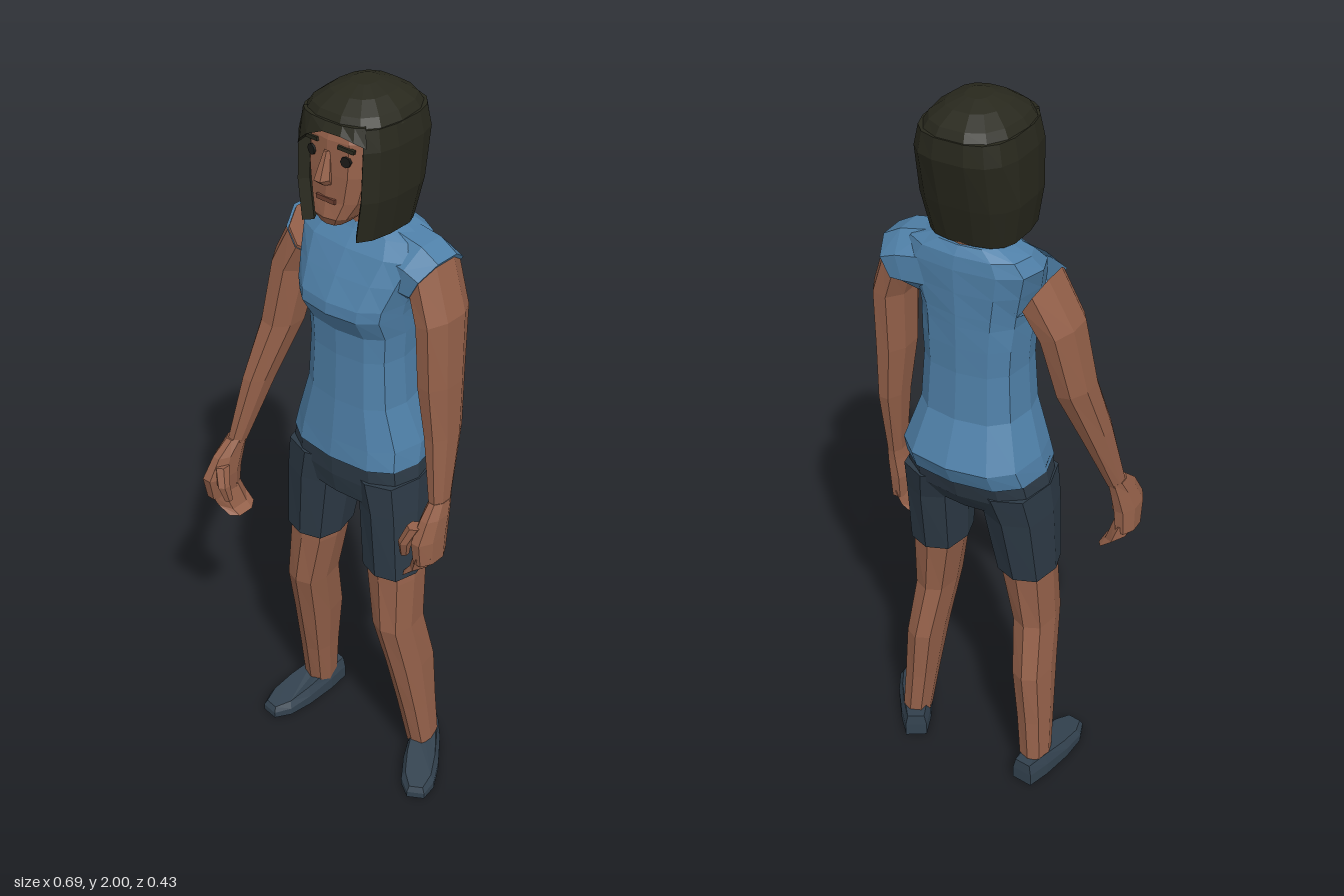
import * as THREE from 'three';

const mat = (name, color) => Object.assign(new THREE.MeshStandardMaterial({ color }), { name });
const RAD = Math.PI / 180;
const pow = (v, e) => Math.sign(v) * Math.abs(v) ** e;

// Flat-faced solid through rings of points (each ring runs from +x towards +z).
function loft(name, material, rings) {
  if (rings[0][0][1] > rings[rings.length - 1][0][1]) rings = [...rings].reverse();
  const n = rings[0].length, pos = [];
  const quad = (a, b, c, d) => [a, b, c, a, c, d].forEach(p => pos.push(...p));
  for (let j = 0; j < rings.length - 1; j++) {
    const lo = rings[j], hi = rings[j + 1];
    for (let i = 0; i < n; i++) {
      const k = (i + 1) % n;
      quad(lo[i], hi[i], hi[k], lo[k]);
    }
  }
  const bottom = rings[0], top = rings[rings.length - 1];
  for (let k = 0; k < n / 2 - 1; k++) {
    quad(bottom[k], bottom[k + 1], bottom[n - 2 - k], bottom[n - 1 - k]);
    quad(top[n - 1 - k], top[n - 2 - k], top[k + 1], top[k]);
  }
  const g = new THREE.BufferGeometry();
  g.setAttribute('position', new THREE.Float32BufferAttribute(pos, 3));
  g.computeVertexNormals();
  const mesh = new THREE.Mesh(g, material);
  mesh.name = name;
  return mesh;
}

// Level ring from its height, side limits and front and back limits.
function span([y, x0, x1, zf, zb], n = 12, e = 0.75) {
  const cx = (x0 + x1) / 2, rx = (x1 - x0) / 2, zc = zf * 0.55 + zb * 0.45;
  return Array.from({ length: n }, (_, i) => {
    const a = i / n * 2 * Math.PI, s = pow(Math.sin(a), e);
    return [cx + rx * pow(Math.cos(a), e), y, zc + s * (s > 0 ? zf - zc : zc - zb)];
  });
}

// Ring about a centre, tilted in the front plane.
function tilted([x, y, z, rx, rz, deg = 0], n = 8) {
  return Array.from({ length: n }, (_, i) => {
    const a = (i + 0.5) / n * 2 * Math.PI, u = rx * 1.06 * Math.cos(a);
    return [x + u * Math.cos(deg * RAD), y + u * Math.sin(deg * RAD), z + rz * 1.06 * Math.sin(a)];
  });
}

// C-shaped ring of hair with an outer and an inner wall.
const HX = 0.033, HZ = -0.03;
function hairArc(a0, a1, m, yAt, rx, zf, zb, thick) {
  const wall = t => Array.from({ length: m }, (_, i) => {
    const a = (a0 + (a1 - a0) * i / (m - 1)) * RAD, s = pow(Math.sin(a), 0.7);
    const x = HX + (rx - t) * pow(Math.cos(a), 0.7);
    return [x, yAt(x), HZ + s * (s > 0 ? zf - HZ - t : HZ - zb - t)];
  });
  return [...wall(0), ...wall(thick).reverse()];
}

export function createModel() {
  const skin = mat('skin', 0x95614a), shirt = mat('shirt', 0x4f80a8), shorts = mat('shorts', 0x2d3a46);
  const shoe = mat('shoe', 0x33424f), hair = mat('hair', 0x28281d);
  const dark = mat('eye', 0x1b1a18), lip = mat('lip', 0x6f4132);
  const model = new THREE.Group();
  model.name = 'woman';
  const spans = (name, m, rows, n, e) => model.add(loft(name, m, rows.map(r => span(r, n, e))));
  const limb = (name, m, rows, n) => model.add(loft(name, m, rows.map(r => tilted(r, n))));

  // Torso
  spans('shirtBody', shirt, [
    [1.03, -0.155, 0.215, 0.09, -0.19], [1.085, -0.145, 0.21, 0.085, -0.213],
    [1.2, -0.105, 0.175, 0.075, -0.16], [1.33, -0.096, 0.166, 0.07, -0.15],
    [1.4, -0.1, 0.17, 0.072, -0.15], [1.46, -0.105, 0.175, 0.108, -0.15],
    [1.49, -0.11, 0.18, 0.105, -0.15], [1.55, -0.125, 0.2, 0.075, -0.15],
    [1.61, -0.14, 0.22, 0.042, -0.15], [1.645, -0.115, 0.19, 0.01, -0.145],
    [1.667, -0.06, 0.13, -0.005, -0.13]]);
  limb('rightSleeve', shirt, [[-0.15, 1.562, -0.057, 0.067, 0.084, -60],
    [-0.115, 1.57, -0.06, 0.08, 0.086, -75], [-0.05, 1.575, -0.06, 0.088, 0.08, -85]]);
  limb('leftSleeve', shirt, [[0.228, 1.56, -0.062, 0.067, 0.084, 62],
    [0.19, 1.57, -0.062, 0.08, 0.086, 75], [0.125, 1.575, -0.06, 0.088, 0.08, 85]]);
  spans('neck', skin, [[1.64, -0.065, 0.135, 0, -0.125], [1.672, -0.05, 0.12, 0, -0.125],
    [1.69, -0.02, 0.09, 0.005, -0.11], [1.78, -0.02, 0.09, 0.01, -0.1]], 8);

  // Arms
  limb('rightArm', skin, [[-0.145, 1.565, -0.056, 0.061, 0.079, -60], [-0.19, 1.47, -0.042, 0.05, 0.076, -22],
    [-0.217, 1.3, -0.015, 0.046, 0.066, -10], [-0.248, 1.14, 0.045, 0.034, 0.054, -8],
    [-0.28, 0.95, 0.108, 0.022, 0.03]]);
  limb('leftArm', skin, [[0.225, 1.562, -0.06, 0.061, 0.079, 62], [0.256, 1.47, -0.055, 0.044, 0.079, 14],
    [0.262, 1.3, -0.052, 0.043, 0.07], [0.273, 1.15, -0.054, 0.033, 0.058],
    [0.286, 0.95, -0.035, 0.021, 0.034]]);

  // Hands, with fingers curled inwards
  limb('rightHand', skin, [[-0.281, 0.96, 0.108, 0.022, 0.032], [-0.287, 0.92, 0.135, 0.026, 0.05],
    [-0.295, 0.86, 0.157, 0.032, 0.06], [-0.3, 0.79, 0.15, 0.028, 0.05]]);
  limb('rightFingers', skin, [[-0.298, 0.81, 0.15, 0.028, 0.05], [-0.285, 0.765, 0.135, 0.034, 0.048, -25],
    [-0.255, 0.74, 0.13, 0.018, 0.043, -25]], 6);
  limb('rightThumb', skin, [[-0.275, 0.9, 0.175, 0.018, 0.02], [-0.257, 0.85, 0.19, 0.016, 0.018],
    [-0.252, 0.8, 0.18, 0.011, 0.012]], 6);
  limb('leftHand', skin, [[0.287, 0.96, -0.035, 0.021, 0.035], [0.287, 0.92, -0.018, 0.026, 0.048],
    [0.283, 0.86, -0.003, 0.031, 0.06], [0.285, 0.79, -0.003, 0.028, 0.052]]);
  limb('leftFingers', skin, [[0.285, 0.81, -0.003, 0.028, 0.052], [0.272, 0.765, 0, 0.033, 0.048, 25],
    [0.242, 0.735, 0.005, 0.018, 0.043, 25]], 6);
  limb('leftThumb', skin, [[0.265, 0.9, 0.035, 0.018, 0.02], [0.246, 0.85, 0.05, 0.016, 0.018],
    [0.238, 0.8, 0.04, 0.011, 0.012]], 6);

  // Shorts
  spans('shortsHips', shorts, [[1.045, -0.152, 0.212, 0.084, -0.185], [0.97, -0.163, 0.22, 0.08, -0.165],
    [0.91, -0.155, 0.215, 0.068, -0.125]]);
  spans('rightShortsLeg', shorts, [[0.99, -0.163, 0.03, 0.08, -0.165], [0.9, -0.17, 0.002, 0.076, -0.14],
    [0.7, -0.175, -0.025, 0.07, -0.105]], 8);
  spans('leftShortsLeg', shorts, [[0.99, 0.05, 0.222, 0.08, -0.165], [0.9, 0.08, 0.228, 0.076, -0.14],
    [0.7, 0.092, 0.238, 0.07, -0.105]], 8);

  // Legs
  spans('rightLeg', skin, [[0.75, -0.165, -0.03, 0.06, -0.095], [0.68, -0.167, -0.035, 0.062, -0.09],
    [0.52, -0.172, -0.066, 0.07, -0.08], [0.36, -0.182, -0.085, 0.035, -0.115],
    [0.2, -0.192, -0.105, 0, -0.115], [0.04, -0.2, -0.122, -0.03, -0.12]], 8);
  spans('leftLeg', skin, [[0.75, 0.1, 0.23, 0.06, -0.095], [0.68, 0.105, 0.236, 0.062, -0.09],
    [0.52, 0.135, 0.238, 0.07, -0.08], [0.36, 0.157, 0.25, 0.035, -0.115],
    [0.2, 0.175, 0.258, 0, -0.115], [0.04, 0.193, 0.266, -0.03, -0.12]], 8);

  // Shoes: a sole outline drawn in towards a sloping top
  const sole = [[0.043, 0], [0.05, 0.09], [0.046, 0.16], [0.024, 0.205], [-0.024, 0.205], [-0.046, 0.16],
    [-0.05, 0.09], [-0.043, 0], [-0.03, -0.065], [0.03, -0.065]];
  const layer = (s, yAt) => sole.map(([x, z]) => [x * s, yAt(z), z * (s < 1 ? 0.96 : 1)]);
  const slope = z => 0.072 - 0.2 * Math.max(0, Math.min(z - 0.01, 0.19));
  for (const [name, x, z, yaw] of [['rightShoe', -0.163, -0.08, -0.12], ['leftShoe', 0.23, -0.085, 0.56]]) {
    const foot = loft(name, shoe, [layer(1, () => 0), layer(1, q => slope(q) * 0.55), layer(0.78, slope)]);
    foot.position.set(x, 0, z);
    foot.rotation.y = yaw;
    model.add(foot);
  }

  // Head and nose
  const head = (y, r, zf, zb) => [y, 0.035 - r, 0.035 + r, zf, zb];
  spans('head', skin, [head(1.695, 0.032, 0.1, 0), head(1.715, 0.052, 0.11, -0.04), head(1.755, 0.075, 0.102, -0.08),
    head(1.82, 0.09, 0.1, -0.11), head(1.9, 0.09, 0.095, -0.12), head(1.95, 0.07, 0.075, -0.11)], 12, 0.7);
  spans('nose', skin, [head(1.797, 0.015, 0.115, 0.08), head(1.812, 0.019, 0.134, 0.08),
    head(1.875, 0.008, 0.104, 0.08)], 6, 1);

  // Eyes, brows and mouth as thin plates
  const plate = (name, m, g, x, y, z, yaw, roll) => {
    const p = new THREE.Mesh(g, m);
    p.name = name;
    p.position.set(0.035 + x, y, z);
    p.rotation.set(0, yaw, roll);
    model.add(p);
  };
  const eyeShape = new THREE.CylinderGeometry(0.013, 0.013, 0.009, 8).rotateX(Math.PI / 2);
  const browShape = new THREE.BoxGeometry(0.042, 0.009, 0.009);
  for (const [side, s] of [['left', 1], ['right', -1]]) {
    plate(side + 'Eye', dark, eyeShape, s * 0.05, 1.86, 0.089, s * 0.2, 0);
    plate(side + 'Brow', hair, browShape, s * 0.05, 1.889, 0.088, s * 0.2, -s * 0.12);
  }
  plate('mouth', lip, new THREE.BoxGeometry(0.055, 0.011, 0.009), 0, 1.758, 0.1, 0, 0);

  // Hair: crown, bob around the sides and back, and a swept fringe
  const full = (y, r, zf, zb) => [y, HX - r, HX + r, zf, zb];
  spans('hairCrown', hair, [full(1.935, 0.12, 0.098, -0.17), full(1.96, 0.104, 0.083, -0.155),
    full(1.985, 0.07, 0.045, -0.115), full(2.0, 0.03, 0, -0.07)], 14, 0.8);
  const bob = (y, rx, zf, zb) => hairArc(130, 410, 14, () => y, rx, zf, zb, 0.025);
  model.add(loft('hairBob', hair, [bob(1.67, 0.112, 0.115, -0.125), bob(1.77, 0.13, 0.113, -0.15),
    bob(1.89, 0.13, 0.106, -0.177), bob(1.94, 0.119, 0.098, -0.17)]));
  const fringe = (yAt, rx, zf) => hairArc(45, 135, 7, yAt, rx, zf, -0.17, 0.025);
  model.add(loft('hairFringe', hair, [fringe(x => 1.928 - 4.5 * (x - 0.06) ** 2, 0.13, 0.11),
    fringe(() => 1.945, 0.118, 0.097)]));
  return model;
}
